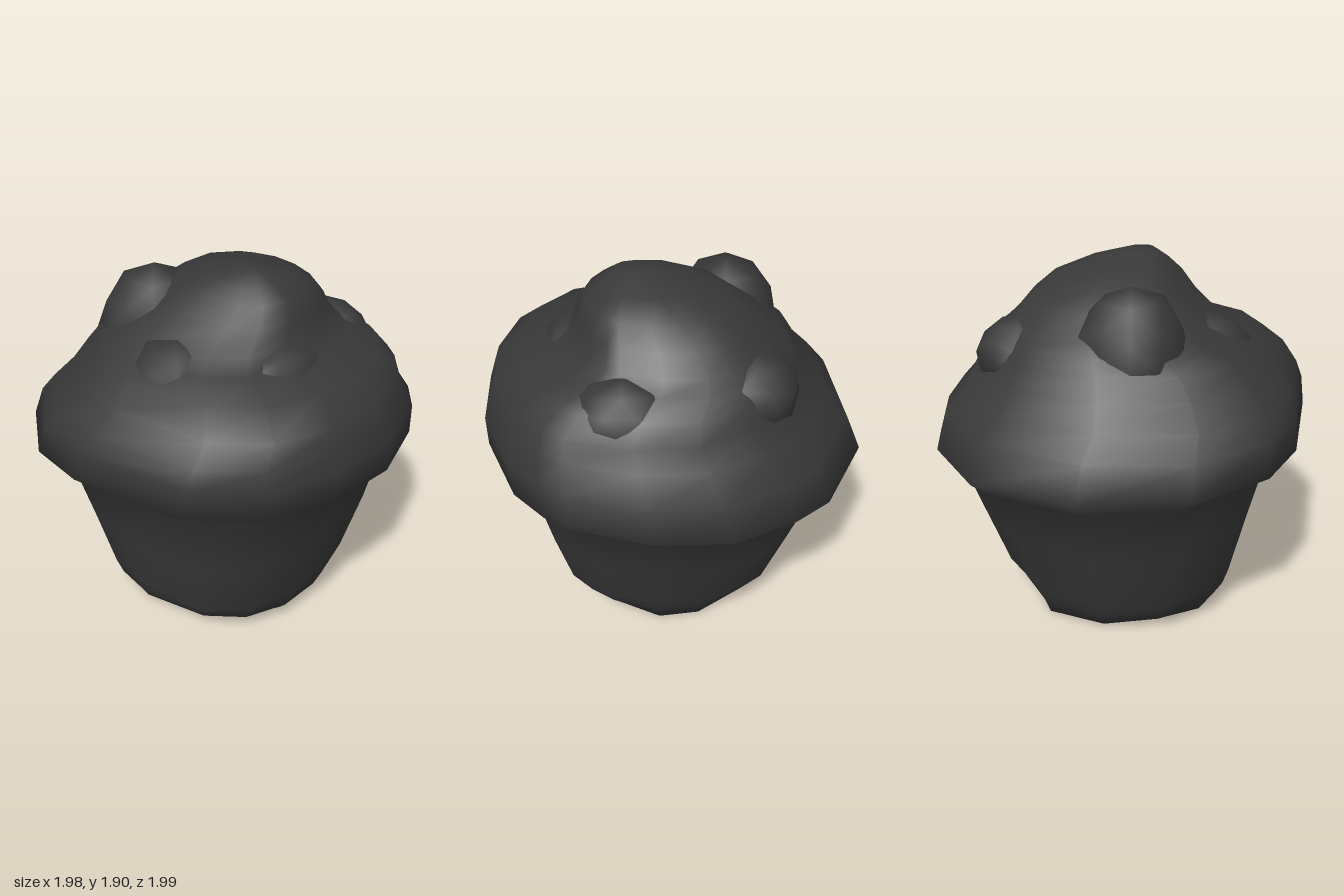
import * as THREE from 'three';
import { mergeVertices } from 'three/addons/utils/BufferGeometryUtils.js';

// Irregular round outline shared by every ring, counter-clockwise from above: [x, z]
const OUTLINE = [
  [1, 0.05], [0.96, -0.33], [0.79, -0.63], [0.64, -0.8], [0.2, -1], [-0.37, -0.92],
  [-0.82, -0.62], [-1, -0.22], [-0.98, 0.12], [-0.75, 0.7], [-0.45, 0.93], [-0.07, 1],
  [0.32, 0.95], [0.7, 0.75], [0.85, 0.58], [0.92, 0.45],
];

// Skins rings of [y, xMin, xMax, zMin, zMax, tilt, pinch] and closes both ends.
// Tilt lifts the front right; pinch cuts in the diagonals.
function loft(rings) {
  const n = OUTLINE.length, pos = [], index = [];
  rings.forEach(([y, x0, x1, z0, z1, tilt = 0, pinch = 0], r) => {
    OUTLINE.forEach(([ox, oz], i) => {
      const k = 1 - pinch * 4 * (ox * oz) ** 2;
      pos.push(
        (x0 + x1) / 2 + ox * k * (x1 - x0) / 2,
        y + tilt * (oz - ox),
        (z0 + z1) / 2 + oz * k * (z1 - z0) / 2,
      );
      if (r === 0) return;
      const a = (r - 1) * n + i, b = (r - 1) * n + (i + 1) % n;
      index.push(a, b, b + n, a, b + n, a + n);
    });
  });
  [0, rings.length - 1].forEach((r) => {
    const [y, x0, x1, z0, z1] = rings[r];
    const c = pos.length / 3;
    pos.push((x0 + x1) / 2, y, (z0 + z1) / 2);
    for (let i = 0; i < n; i++) {
      const a = r * n + i, b = r * n + (i + 1) % n;
      if (r === 0) index.push(c, b, a);
      else index.push(c, a, b);
    }
  });
  const g = new THREE.BufferGeometry();
  g.setAttribute('position', new THREE.Float32BufferAttribute(pos, 3));
  g.setIndex(index);
  g.computeVertexNormals();
  return g;
}

// Rough rounded chunk of crust
function lump(radii, seed) {
  let g = new THREE.IcosahedronGeometry(1, 1);
  g.deleteAttribute('uv');
  g.deleteAttribute('normal');
  g = mergeVertices(g, 1e-3);
  const p = g.attributes.position;
  for (let i = 0; i < p.count; i++) {
    const k = 1 + 0.03 * Math.sin(seed + p.getX(i) * 4 + p.getY(i) * 3 + p.getZ(i) * 2);
    p.setXYZ(i, p.getX(i) * k * radii[0], p.getY(i) * k * radii[1], p.getZ(i) * k * radii[2]);
  }
  g.computeVertexNormals();
  return g;
}

export function createModel() {
  const group = new THREE.Group();
  const material = new THREE.MeshStandardMaterial({ color: 0x383838 });
  const add = (name, geometry, position = [0, 0, 0]) => {
    const mesh = new THREE.Mesh(geometry, material);
    mesh.name = name;
    mesh.position.set(...position);
    group.add(mesh);
  };

  // Tapered cup with a chamfered, tilted foot
  const cup = [
    [0.024, -0.59, 0.57, -0.57, 0.6, 0.017, 0.1],
    [0.1, -0.62, 0.6, -0.6, 0.65, 0, 0.02],
    [0.2, -0.65, 0.64, -0.63, 0.68, 0, -0.03],
    [0.55, -0.735, 0.745, -0.75, 0.77, 0, -0.03],
    [0.875, -0.83, 0.855, -0.87, 0.86, 0.03],
  ];
  // Overhanging cake top, rising to an off-centre crown
  const cakeTop = [
    [0.99, -0.99, 0.985, -1, 0.99, 0.03],
    [1.16, -0.955, 0.96, -0.92, 0.99, 0.015],
    [1.27, -0.9, 0.86, -0.81, 0.96],
    [1.38, -0.8, 0.81, -0.71, 0.92],
    [1.48, -0.7, 0.74, -0.65, 0.79],
    [1.54, -0.6, 0.64, -0.61, 0.6],
    [1.6, -0.48, 0.57, -0.55, 0.51],
    [1.7, -0.33, 0.5, -0.44, 0.47],
    [1.79, -0.23, 0.41, -0.31, 0.43],
    [1.85, -0.15, 0.28, -0.12, 0.35],
    [1.9, -0.04, 0.1, 0.08, 0.27],
  ];
  add('cupAndCakeTop', loft([...cup, ...cakeTop]));

  // Swellings of crust around the crown
  [
    ['backRightChunk', [0.3, 0.33, 0.28], [-0.23, 1.5, -0.27]],
    ['rightChunk', [0.25, 0.22, 0.26], [-0.4, 1.41, 0.17]],
    ['frontChunk', [0.3, 0.19, 0.2], [-0.02, 1.42, 0.48]],
    ['leftChunk', [0.22, 0.2, 0.27], [0.56, 1.39, 0.2]],
    ['backLeftChunk', [0.25, 0.21, 0.23], [0.35, 1.42, -0.41]],
  ].forEach(([name, radii, position], i) => add(name, lump(radii, i * 1.7), position));

  return group;
}
